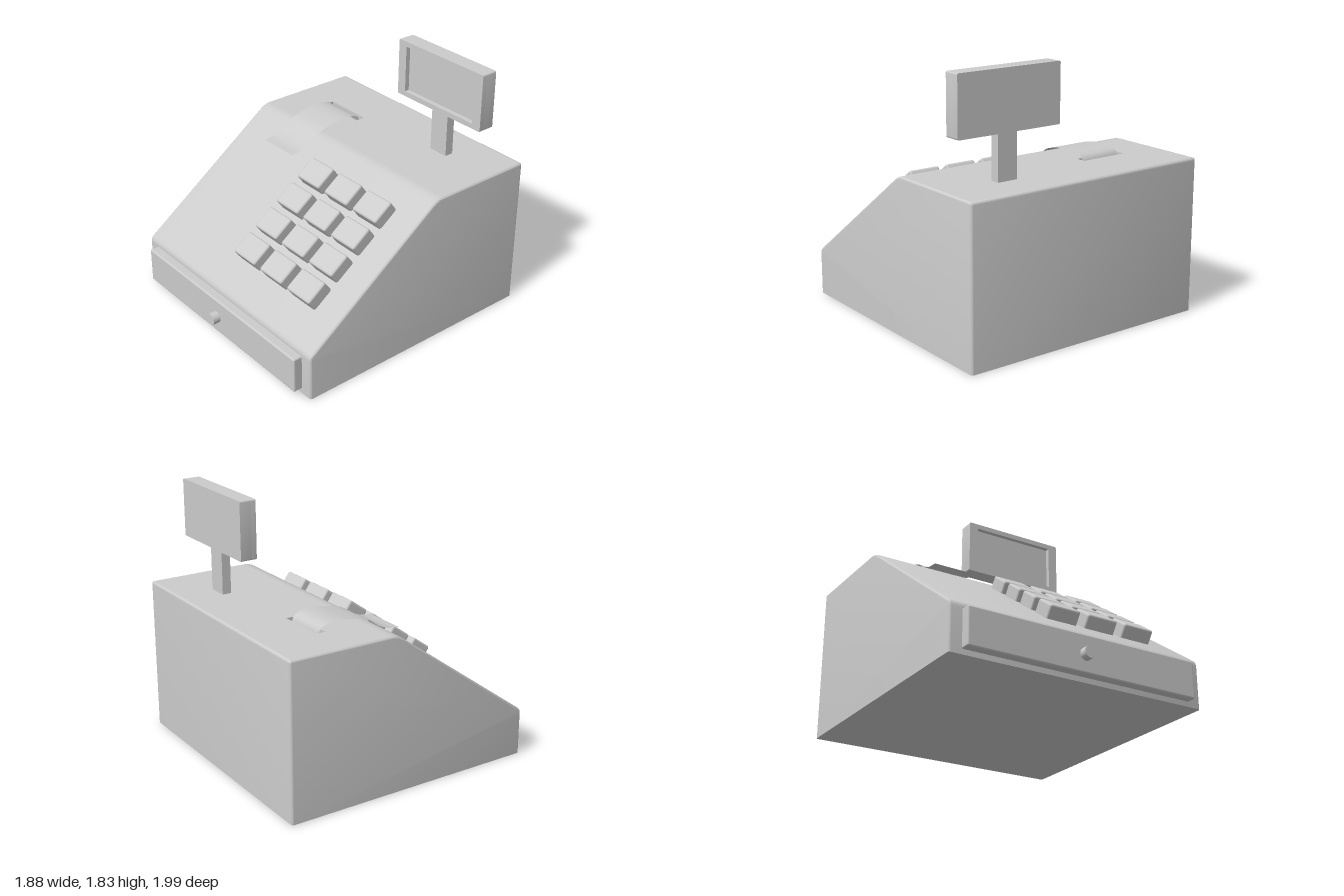
import * as THREE from 'three';
import { toCreasedNormals } from 'three/addons/utils/BufferGeometryUtils.js';
import { RoundedBoxGeometry } from 'three/addons/geometries/RoundedBoxGeometry.js';

const grey = new THREE.MeshStandardMaterial({ color: 0xcccccc });
const paperGrey = new THREE.MeshStandardMaterial({ color: 0xcccccc, side: THREE.DoubleSide });

function add(parent, name, geometry, x = 0, y = 0, z = 0, material = grey) {
  const mesh = new THREE.Mesh(geometry, material);
  mesh.name = name;
  mesh.position.set(x, y, z);
  parent.add(mesh);
  return mesh;
}

// Polygon of [x, y, cornerRadius] with each corner rounded off
function roundedPolygon(points, Type = THREE.Shape) {
  const shape = new Type();
  const n = points.length;
  points.forEach(([x, y, r], i) => {
    const corner = new THREE.Vector2(x, y);
    const toward = (p) => new THREE.Vector2(p[0], p[1]).sub(corner).setLength(r).add(corner);
    const a = toward(points[(i + n - 1) % n]);
    const b = toward(points[(i + 1) % n]);
    if (i === 0) shape.moveTo(a.x, a.y);
    else shape.lineTo(a.x, a.y);
    if (r > 0) shape.quadraticCurveTo(x, y, b.x, b.y);
  });
  shape.closePath();
  return shape;
}

function rectangle(x0, x1, y0, y1, r = 0, Type = THREE.Shape) {
  return roundedPolygon([[x0, y0, r], [x1, y0, r], [x1, y1, r], [x0, y1, r]], Type);
}

const HALF_WIDTH = 0.94, TOP = 1.1, BACK = -0.99, FRONT = 0.88, CREST = -0.19;
const LIP = 0.33, BEVEL = 0.015, CREST_R = 0.05, BACK_R = 0.02;
const SLOT = { x0: -0.63, x1: -0.275, z0: -0.605, z1: -0.535 };
const SLOPE = Math.atan2(TOP - LIP, FRONT - CREST);

// Side profile extruded across the width, its flat top left open for the slotted panel
function bodyGeometry() {
  const profile = roundedPolygon([
    [BACK, -BEVEL, 0], [FRONT, -BEVEL, 0], [FRONT, LIP, 0.03],
    [CREST, TOP, CREST_R], [BACK, TOP, BACK_R],
  ]);
  const depth = 2 * (HALF_WIDTH - BEVEL);
  const solid = new THREE.ExtrudeGeometry(profile, {
    depth, curveSegments: 5, bevelThickness: BEVEL, bevelSize: BEVEL, bevelOffset: -BEVEL, bevelSegments: 3,
  });
  solid.translate(0, 0, -depth / 2).rotateY(-Math.PI / 2);
  const p = solid.attributes.position;
  const kept = [];
  for (let i = 0; i < p.count; i += 3) {
    const ids = [i, i + 1, i + 2];
    if (ids.every((k) => p.getY(k) > TOP - 1e-4)) continue;
    // The underside stays square-edged and flat
    for (const k of ids) kept.push(p.getX(k), Math.max(0, p.getY(k)), p.getZ(k));
  }
  const geometry = new THREE.BufferGeometry();
  geometry.setAttribute('position', new THREE.Float32BufferAttribute(kept, 3));
  return toCreasedNormals(geometry, 0.6);
}

export function createModel() {
  const model = new THREE.Group();
  model.name = 'cashRegister';

  // Casing
  add(model, 'body', bodyGeometry());
  const w = HALF_WIDTH - BEVEL;
  const panel = rectangle(-w, w, -(CREST - CREST_R), -(BACK + BACK_R));
  panel.holes.push(rectangle(SLOT.x0, SLOT.x1, -SLOT.z1, -SLOT.z0, 0, THREE.Path));
  add(model, 'topPanel', new THREE.ShapeGeometry(panel).rotateX(-Math.PI / 2), 0, TOP, 0);

  // Paper slot, a box turned inside out so its inner walls show
  const slot = new THREE.BoxGeometry(SLOT.x1 - SLOT.x0, 0.05, SLOT.z1 - SLOT.z0).scale(-1, 1, 1);
  slot.computeVertexNormals();
  add(model, 'paperSlot', slot, (SLOT.x0 + SLOT.x1) / 2, TOP - 0.025, (SLOT.z0 + SLOT.z1) / 2);

  // Receipt, a plane bent along a curve out of the slot and over the crest
  const path = new THREE.CatmullRomCurve3([
    [-0.575, 1.07], [-0.56, 1.11], [-0.52, 1.134], [-0.44, 1.145], [-0.31, 1.133],
    [-0.19, 1.104], [-0.1, 1.045], [-0.02, 1.014], [0.06, 1.005],
  ].map(([z, y]) => new THREE.Vector3(0, y, z)));
  const receipt = new THREE.PlaneGeometry(0.315, 1, 1, 32);
  const rp = receipt.attributes.position;
  for (let i = 0; i < rp.count; i++) {
    const q = path.getPointAt(THREE.MathUtils.clamp(0.5 - rp.getY(i), 0, 1));
    rp.setXYZ(i, rp.getX(i), q.y, q.z);
  }
  receipt.computeVertexNormals();
  add(model, 'receipt', receipt, -0.447, 0, 0, paperGrey);

  // Keypad on the slope
  const keypad = new THREE.Group();
  keypad.name = 'keypad';
  model.add(keypad);
  const keyShape = new RoundedBoxGeometry(0.235, 0.11, 0.175, 3, 0.016);
  for (let row = 0; row < 4; row++) {
    for (let col = 0; col < 3; col++) {
      const key = add(keypad, 'key', keyShape, 0.01 + col * 0.295, 0.57 + row * 0.131, 0.618 - row * 0.1865);
      key.rotation.x = SLOPE;
    }
  }

  // Cash drawer
  add(model, 'drawerFront', new RoundedBoxGeometry(1.7, 0.26, 0.085, 3, 0.012), 0, 0.166, 0.9025);
  add(model, 'drawerKnob', new THREE.CylinderGeometry(0.042, 0.042, 0.07, 32).rotateX(Math.PI / 2), -0.01, 0.16, 0.965);

  // Customer display on its post
  const display = new THREE.Group();
  display.name = 'display';
  display.position.set(0.46, 1.625, 0);
  model.add(display);
  add(display, 'post', new THREE.BoxGeometry(0.15, 0.36, 0.065), 0, -0.36, -0.683);
  const outline = () => rectangle(-0.4, 0.4, -0.205, 0.205, 0.01);
  const slab = (shape, depth) => toCreasedNormals(
    new THREE.ExtrudeGeometry(shape, { depth, bevelEnabled: false, curveSegments: 3 }), 0.6);
  add(display, 'displayBack', slab(outline(), 0.085), 0, 0, -0.745);
  const frame = outline();
  frame.holes.push(rectangle(-0.328, 0.328, -0.168, 0.168, 0, THREE.Path));
  add(display, 'displayFrame', slab(frame, 0.035), 0, 0, -0.66);

  return model;
}
